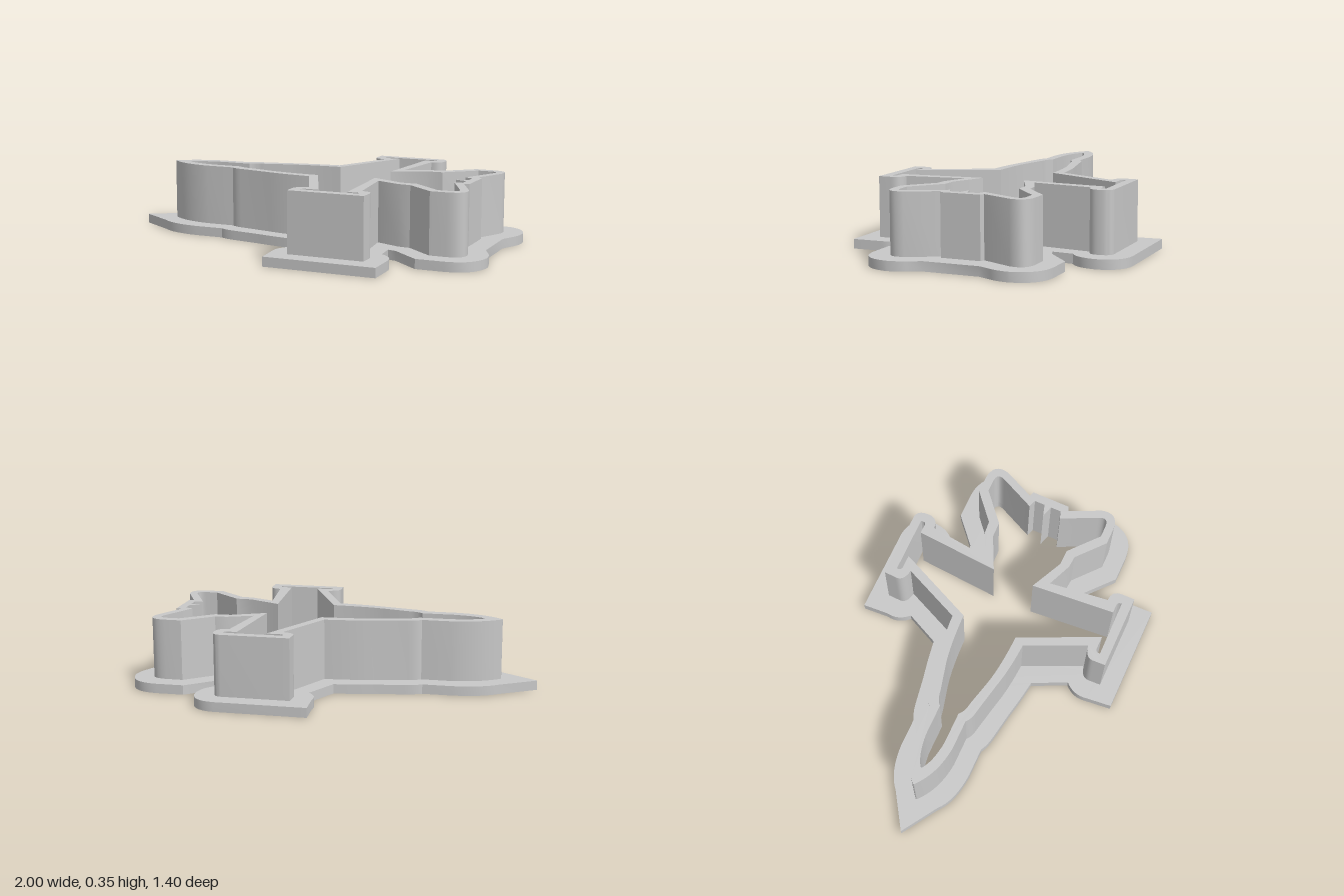
import * as THREE from 'three';
import { toCreasedNormals } from 'three/addons/utils/BufferGeometryUtils.js';

// Half outlines from nose to tail as [x, distance from centreline];
// four numbers mean a curve: [control x, control d, end x, end d].
const flangeHalf = (square) => [
  [-1, 0], [-0.82, 0.115], [-0.75, 0.18, -0.6, 0.19], [-0.45, 0.19], [-0.42, 0.21, -0.36, 0.22],
  [-0.22, 0.243], [-0.12, 0.265, -0.02, 0.278], [0.062, 0.45], [0.01, 0.5, 0.022, 0.57],
  ...(square
    ? [[0.035, 0.7], [0.602, 0.7], [0.599, 0.55]]
    : [[0.014, 0.7], [0.47, 0.7], [0.59, 0.69, 0.6, 0.57]]),
  [0.6, 0.47, 0.525, 0.425], [0.515, 0.32], [0.56, 0.333], [0.7, 0.455],
  [0.84, 0.455], [0.98, 0.45, 1, 0.31], [1, 0.25, 0.975, 0.205], [0.945, 0.14],
];

const wallHalf = (square) => [
  [-0.82, 0.003], [-0.73, 0.085, -0.58, 0.098], [-0.43, 0.098], [-0.41, 0.12, -0.36, 0.127],
  [-0.2, 0.16], [-0.1, 0.185, 0.045, 0.193], [0.18, 0.49], [0.11, 0.5, 0.117, 0.55], [0.119, 0.606],
  ...(square
    ? [[0.505, 0.606], [0.505, 0.54]]
    : [[0.46, 0.606], [0.505, 0.606, 0.505, 0.54]]),
  [0.505, 0.485, 0.447, 0.485], [0.41, 0.183], [0.535, 0.235], [0.595, 0.24], [0.735, 0.36],
  [0.82, 0.36], [0.92, 0.355, 0.895, 0.265], [0.82, 0.108], [0.845, 0.1],
];

const innerHalf = (square) => [
  [-0.73, 0.003], [-0.68, 0.04, -0.57, 0.05], [-0.41, 0.05], [-0.385, 0.075, -0.34, 0.08],
  [-0.2, 0.115], [-0.1, 0.138, 0.07, 0.143], [0.25, 0.535], [0.18, 0.535], [0.16, 0.54, 0.165, 0.56],
  ...(square ? [[0.457, 0.557]] : [[0.45, 0.562], [0.457, 0.562, 0.457, 0.55]]),
  [0.457, 0.535, 0.44, 0.535], [0.395, 0.535], [0.362, 0.108], [0.53, 0.188], [0.61, 0.19], [0.758, 0.317],
  [0.82, 0.317], [0.875, 0.315, 0.85, 0.265], [0.764, 0.086], [0.803, 0.072], [0.803, 0.018], [0.743, 0],
];

// Sample one half outline into points
function sampleHalf(list) {
  const path = new THREE.Path();
  list.forEach((p, i) => {
    if (i === 0) path.moveTo(p[0], p[1]);
    else if (p.length === 4) path.quadraticCurveTo(...p);
    else path.lineTo(p[0], p[1]);
  });
  return path.getPoints(8);
}

// Join both halves: square wing tip at the front, rounded wing tip at the back
function closedOutline(half) {
  const front = sampleHalf(half(true)).map((p) => new THREE.Vector2(p.x, -p.y));
  const back = sampleHalf(half(false)).reverse();
  const points = [...front, ...back];
  return points.filter((p, i) => p.distanceTo(points[(i + 1) % points.length]) > 1e-4);
}

// Upright ring between two outlines; the hole runs the opposite way round
function ring(name, outer, inner, bottom, top, material) {
  const shape = new THREE.Shape(closedOutline(outer));
  shape.holes.push(new THREE.Path(closedOutline(inner).reverse()));
  const geometry = new THREE.ExtrudeGeometry(shape, { depth: top - bottom, bevelEnabled: false });
  geometry.rotateX(-Math.PI / 2);
  geometry.translate(0, bottom, 0);
  const mesh = new THREE.Mesh(toCreasedNormals(geometry, 0.45), material);
  mesh.name = name;
  return mesh;
}

export function createModel() {
  const group = new THREE.Group();
  group.name = 'planeCookieCutter';
  const grey = new THREE.MeshStandardMaterial({ color: 0xc8c8c8 });
  grey.name = 'light grey';

  // Wide grip flange at the base and the thin cutting wall above it
  group.add(ring('gripFlange', flangeHalf, innerHalf, 0, 0.048, grey));
  group.add(ring('cuttingWall', wallHalf, innerHalf, 0.048, 0.353, grey));
  return group;
}
